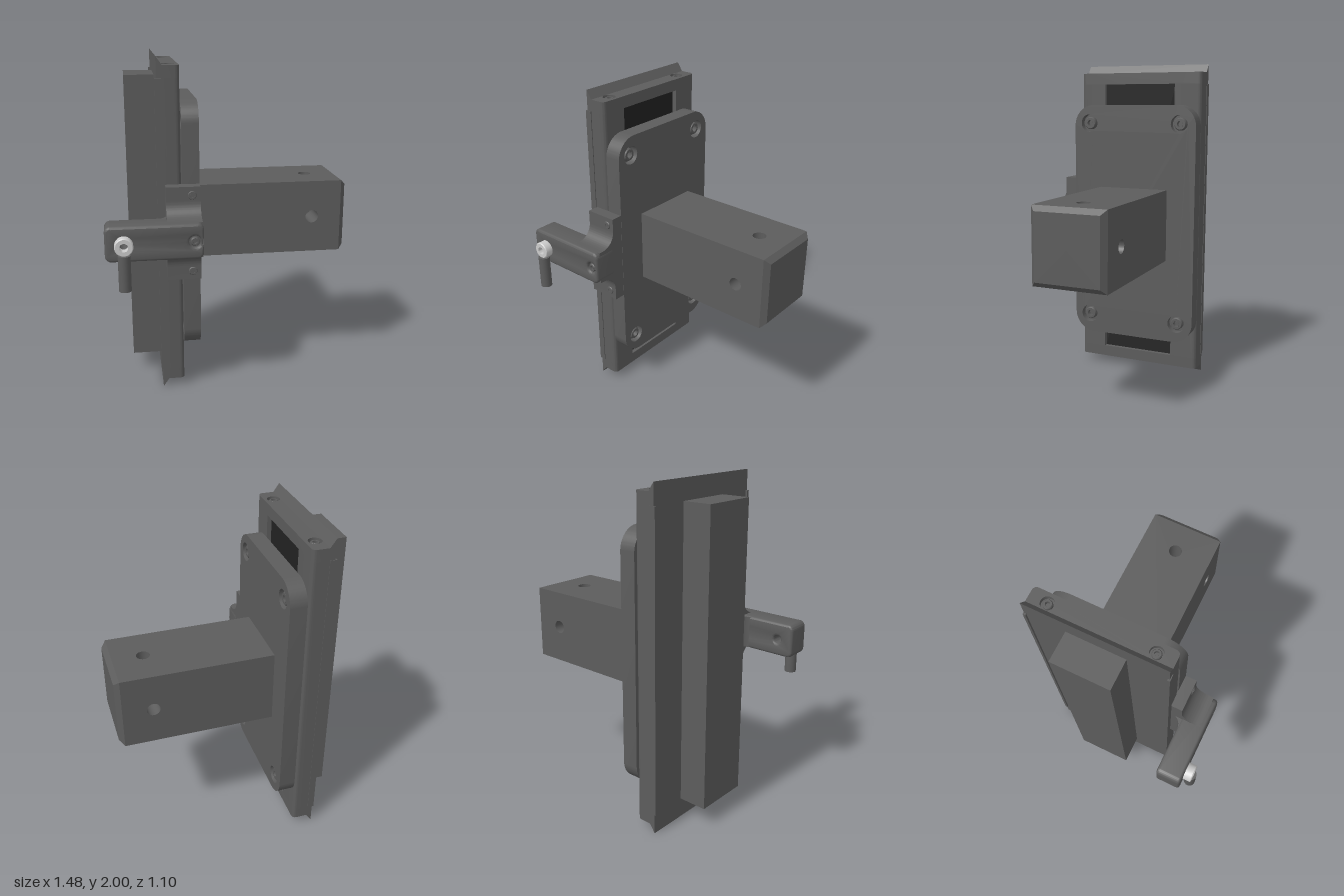
import * as THREE from 'three';
import { toCreasedNormals } from 'three/addons/utils/BufferGeometryUtils.js';

const paint = (color) => new THREE.MeshStandardMaterial({ color, side: THREE.DoubleSide });

export function createModel() {
  const model = new THREE.Group();
  const dark = paint(0x5c5c5c), black = paint(0x222222), light = paint(0xcccccc);

  const add = (name, geo, mat = dark, parent = model) => {
    const mesh = new THREE.Mesh(geo, mat);
    mesh.name = name;
    parent.add(mesh);
    return mesh;
  };
  const box = (x0, x1, y0, y1, z0, z1) =>
    new THREE.BoxGeometry(x1 - x0, y1 - y0, z1 - z0)
      .translate((x0 + x1) / 2, (y0 + y1) / 2, (z0 + z1) / 2);
  const circle = (x, y, r) => new THREE.Path().absarc(x, y, r, 0, Math.PI * 2, true);
  const polygon = (pts) => new THREE.Shape(pts.map(([x, y]) => new THREE.Vector2(x, y)));
  const roundRect = (x0, x1, y0, y1, r) => {
    const s = new THREE.Shape();
    s.absarc(x1 - r, y1 - r, r, 0, Math.PI / 2);
    s.absarc(x0 + r, y1 - r, r, Math.PI / 2, Math.PI);
    s.absarc(x0 + r, y0 + r, r, Math.PI, Math.PI * 1.5);
    s.absarc(x1 - r, y0 + r, r, Math.PI * 1.5, Math.PI * 2);
    s.closePath();
    return s;
  };
  const extrude = (shape, depth, options = {}) => toCreasedNormals(
    new THREE.ExtrudeGeometry(shape, { depth, bevelEnabled: false, curveSegments: 12, ...options }), 0.6);
  // shape (x, -z) raised along y / shape (-z, y) pushed along x
  const alongY = (shape, y0, y1) => extrude(shape, y1 - y0).rotateX(-Math.PI / 2).translate(0, y0, 0);
  const alongX = (shape, x0, x1) => extrude(shape, x1 - x0).rotateY(Math.PI / 2).translate(x0, 0, 0);

  // Socket head screw: seat disc, head and hexagon recess, facing `dir`
  const up = new THREE.Vector3(0, 1, 0);
  function screw(name, x, y, z, dir, r) {
    const g = new THREE.Group();
    g.name = name;
    const head = [[0.7, -1], [0.7, -0.3], [0.6, -0.15], [0.36, -0.15]]
      .map(([a, b]) => new THREE.Vector2(a * r, b * r));
    add('screwHead', toCreasedNormals(new THREE.LatheGeometry(head, 20), 0.5), dark, g);
    add('screwSocket', new THREE.CylinderGeometry(r * 0.38, r * 0.38, r * 0.6, 6, 1, true)
      .translate(0, -r * 0.45, 0), dark, g);
    add('screwSeat', new THREE.CircleGeometry(r, 24).rotateX(-Math.PI / 2).translate(0, -r * 0.75, 0), dark, g);
    g.quaternion.setFromUnitVectors(up, new THREE.Vector3(...dir));
    g.position.set(x, y, z);
    model.add(g);
  }

  // Slide body: channelled middle with a solid head at each end
  const bodyShape = (channel) => {
    const s = new THREE.Shape();
    s.moveTo(-0.395, -0.265);
    s.lineTo(-0.325, -0.265);
    s.quadraticCurveTo(-0.295, -0.265, -0.295, -0.235);
    if (channel) [[-0.295, -0.1], [-0.325, -0.1], [-0.325, 0.37], [-0.295, 0.37]].forEach((p) => s.lineTo(...p));
    s.lineTo(-0.295, 0.515);
    s.quadraticCurveTo(-0.295, 0.545, -0.325, 0.545);
    s.lineTo(-0.395, 0.545);
    s.closePath();
    return s;
  };
  add('slideBody', alongY(bodyShape(true), 0.12, 1.88));
  add('slideBand', box(-0.33, -0.322, 0.12, 1.88, -0.37, 0.1), black);
  for (const [y0, y1, face, dy] of [[0.05, 0.12, 0.05, -1], [1.88, 1.95, 1.95, 1]]) {
    const shape = bodyShape(false);
    for (const z of [0.16, -0.44]) {
      shape.holes.push(circle(-0.352, -z, 0.038));
      screw('endHeadScrew', -0.352, face, z, [0, dy, 0], 0.038);
    }
    add('endHead', alongY(shape, y0, y1));
  }

  // Backing plate with flared ends, side strips and long rear bar
  const back = polygon([[-0.425, 0], [-0.39, 0.05], [-0.39, 1.95], [-0.425, 2]]);
  add('backPlate', extrude(back, 0.81).translate(0, 0, -0.545));
  for (const z of [-0.54, 0.262]) add('sideStrip', box(-0.435, -0.395, 0.12, 1.88, z - 0.008, z + 0.008));
  add('rearBar', box(-0.6, -0.42, 0.12, 1.88, -0.31, 0.03));

  // Carriage plate with four counterbored screws
  const plate = roundRect(-0.265, 0.545, 0.25, 1.75, 0.13);
  for (const y of [0.37, 1.635]) for (const z of [0.165, -0.44]) {
    plate.holes.push(circle(-z, y, 0.056));
    screw('carriageScrew', -0.19, y, z, [1, 0, 0], 0.056);
  }
  add('carriagePlate', alongX(plate, -0.29, -0.19));

  // Square post: four drilled faces around its axis and a chamfered end
  const post = new THREE.Group();
  post.name = 'post';
  post.position.set(0, 1.003, -0.14);
  model.add(post);
  const half = 0.225;
  for (let k = 0; k < 4; k++) {
    const turn = k * Math.PI / 2;
    const face = polygon([[-0.19, -half], [0.71, -half], [0.71, half], [-0.19, half]]);
    const bore = (x, y, r, depth) => {
      face.holes.push(circle(x, y, r));
      add('postBore', new THREE.CylinderGeometry(r, r, depth, 24, 1, true).rotateX(Math.PI / 2)
        .translate(x, y, half - depth / 2).rotateX(turn), dark, post);
    };
    bore(0.53, 0, 0.04, half - 0.04);
    if (k === 1) for (const x of [-0.11, 0.1]) for (const y of [-0.16, 0.16]) {
      bore(x, y, 0.022, 0.08);
      add('boreFloor', new THREE.CircleGeometry(0.022, 20).translate(x, y, half - 0.08).rotateX(turn), dark, post);
    }
    add('postFace', new THREE.ShapeGeometry(face, 12).translate(0, 0, half).rotateX(turn), dark, post);
  }
  add('postEnd', new THREE.CylinderGeometry(0.195 * Math.SQRT2, half * Math.SQRT2, 0.03, 4).toNonIndexed()
    .rotateY(Math.PI / 4).rotateZ(-Math.PI / 2).translate(0.725, 0, 0), dark, post).geometry.computeVertexNormals();

  // Side bracket: flange sweeping out to the arm in two concave curves
  const flange = new THREE.Shape();
  flange.moveTo(-0.262, 0.725);
  flange.lineTo(-0.262, 1.28);
  flange.lineTo(-0.335, 1.28);
  flange.lineTo(-0.335, 1.2);
  flange.absarc(-0.43, 1.2, 0.095, 0, -Math.PI / 2, true);
  flange.lineTo(-0.455, 1.105);
  flange.lineTo(-0.455, 0.9);
  flange.absarc(-0.43, 0.805, 0.095, Math.PI / 2, 0, true);
  flange.lineTo(-0.335, 0.725);
  flange.closePath();
  add('bracketFlange', alongX(flange, -0.39, -0.192));
  const fillet = new THREE.Shape();
  fillet.moveTo(-0.385, -0.275);
  fillet.quadraticCurveTo(-0.395, -0.335, -0.46, -0.34);
  fillet.lineTo(-0.385, -0.345);
  add('bracketFillet', alongY(fillet, 0.905, 1.1));
  for (const y of [0.775, 1.23]) screw('flangeScrew', -0.24, y, 0.347, [0, 0, 1], 0.036);

  // Arm with a clamp hole at its tip and a sunk screw at its root
  const arm = roundRect(-0.74, -0.19, 0.9, 1.105, 0.035);
  arm.holes.push(circle(-0.635, 1, 0.024), circle(-0.24, 1, 0.034));
  const bevel = { bevelEnabled: true, bevelSize: 0.015, bevelThickness: 0.015, bevelOffset: -0.015, bevelSegments: 3 };
  add('bracketArm', extrude(arm, 0.12, bevel).translate(0, 0, 0.35));
  screw('armScrew', -0.24, 1, 0.485, [0, 0, 1], 0.036);

  // Clamp collar and its hanging handle
  const collar = [[0.024, 0], [0.052, 0], [0.052, 0.045], [0.047, 0.05], [0.024, 0.05], [0.024, 0]]
    .map(([r, h]) => new THREE.Vector2(r, h));
  add('clampCollar', toCreasedNormals(new THREE.LatheGeometry(collar, 28), 0.5)
    .rotateX(Math.PI / 2).translate(-0.635, 1, 0.485), light);
  add('clampHandle', new THREE.CylinderGeometry(0.035, 0.035, 0.205, 24).translate(-0.635, 0.848, 0.516));

  return model;
}
